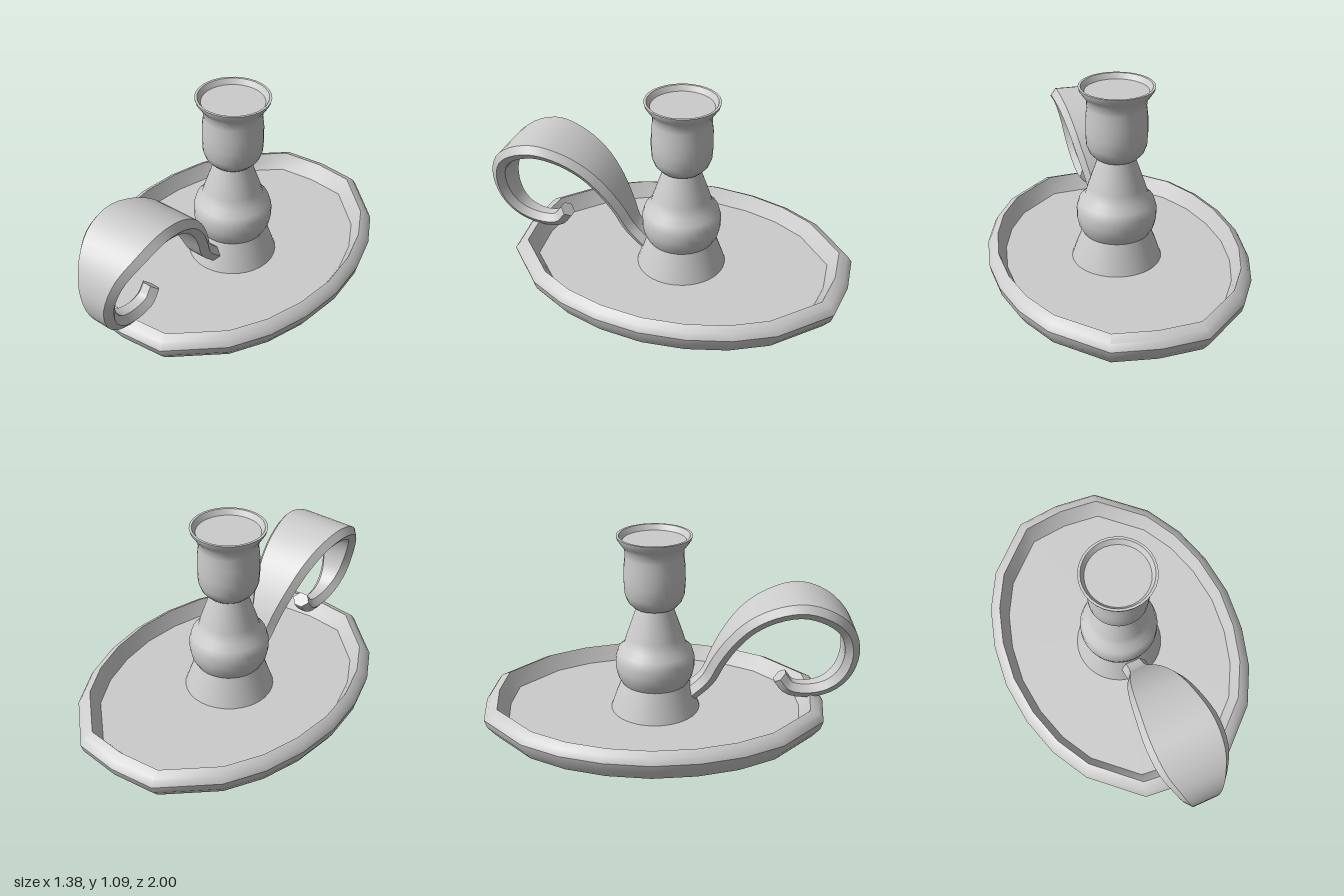
import * as THREE from 'three';
import { toCreasedNormals } from 'three/addons/utils/BufferGeometryUtils.js';

const material = new THREE.MeshStandardMaterial({ color: 0xcccccc });

// Skin a stack of equal-length rings of Vector3 and cap both ends
function loft(rings, crease) {
  const n = rings[0].length, last = rings.length - 1;
  const points = rings.flat(), index = [];
  for (let i = 0; i < last; i++) {
    for (let j = 0; j < n; j++) {
      const k = (j + 1) % n;
      const a = i * n + j, b = i * n + k, c = a + n, d = b + n;
      index.push(a, b, d, a, d, c);
    }
  }
  const centre = ring => ring.reduce((s, p) => s.add(p), new THREE.Vector3()).divideScalar(n);
  const start = points.push(centre(rings[0])) - 1;
  const end = points.push(centre(rings[last])) - 1;
  for (let j = 0; j < n; j++) {
    const k = (j + 1) % n;
    index.push(start, k, j, end, last * n + j, last * n + k);
  }
  const geometry = new THREE.BufferGeometry().setFromPoints(points);
  geometry.setIndex(index);
  return toCreasedNormals(geometry, crease);
}

function addPart(group, name, geometry) {
  const mesh = new THREE.Mesh(geometry, material);
  mesh.name = name;
  group.add(mesh);
  return mesh;
}

// Oval dish: one quarter outline mirrored to 20 corners, scaled at each level
function dishGeometry() {
  const quarter = [[0, 0.915], [0.24, 0.89], [0.49, 0.66], [0.6, 0.46], [0.665, 0.24]];
  const half = [...quarter, [0.69, 0], ...quarter.slice(1).reverse().map(([x, z]) => [x, -z])];
  const outline = [...half, ...half.map(([x, z]) => [-x, -z])];
  const levels = [
    [0.6, 0], [0.94, 0.05], [0.985, 0.1], [1, 0.145], [0.975, 0.178],
    [0.922, 0.2], [0.86, 0.115],
  ];
  return loft(levels.map(([s, y]) =>
    outline.map(([x, z]) => new THREE.Vector3(x * s, y, z * s))), 0.66);
}

// Turned stem with foot, bulb, tapered neck and candle cup
function stemGeometry() {
  const profile = [
    [0.24, 0.112], [0.21, 0.2], [0.18, 0.275],
    [0.2, 0.31], [0.211, 0.36], [0.211, 0.41], [0.198, 0.455], [0.166, 0.485],
    [0.15, 0.54], [0.095, 0.7],
    [0.115, 0.705], [0.142, 0.735], [0.157, 0.775], [0.161, 0.84], [0.16, 0.92], [0.153, 0.98],
    [0.155, 1.02], [0.175, 1.047], [0.192, 1.072], [0.196, 1.088],
    [0.183, 1.088], [0.165, 1.06], [0, 1.06],
  ].map(([r, y]) => new THREE.Vector2(r, y));
  return toCreasedNormals(new THREE.LatheGeometry(profile, 32), 0.65);
}

// Curled strap handle: each path point holds half width, y and z
function handleGeometry() {
  const path = new THREE.CatmullRomCurve3([
    [0.07, 0.2, 0.11], [0.075, 0.29, 0.2], [0.1, 0.41, 0.257], [0.13, 0.525, 0.325],
    [0.157, 0.63, 0.417], [0.18, 0.705, 0.54], [0.198, 0.737, 0.685], [0.188, 0.695, 0.82],
    [0.145, 0.6, 0.92], [0.108, 0.47, 0.958], [0.084, 0.34, 0.93], [0.067, 0.255, 0.855],
    [0.058, 0.22, 0.745], [0.056, 0.235, 0.64], [0.054, 0.295, 0.59],
  ].map(p => new THREE.Vector3(...p)));
  const steps = 48, thick = 0.039, bevel = 0.03, rings = [];
  for (let i = 0; i <= steps; i++) {
    const { x: w, y, z } = path.getPoint(i / steps);
    const t = path.getTangent(i / steps).setX(0).normalize();
    const f = w - bevel;
    const section = [[1, f], [0, w], [-1, f], [-1, -f], [0, -w], [1, -f]];
    rings.push(section.map(([u, v]) =>
      new THREE.Vector3(v, y - t.z * u * thick, z + t.y * u * thick)));
  }
  return loft(rings, 0.6);
}

export function createModel() {
  const model = new THREE.Group();
  model.name = 'candleHolder';
  addPart(model, 'dish', dishGeometry()).position.z = -0.085;
  addPart(model, 'stem', stemGeometry()).position.z = -0.08;
  addPart(model, 'handle', handleGeometry());
  return model;
}
